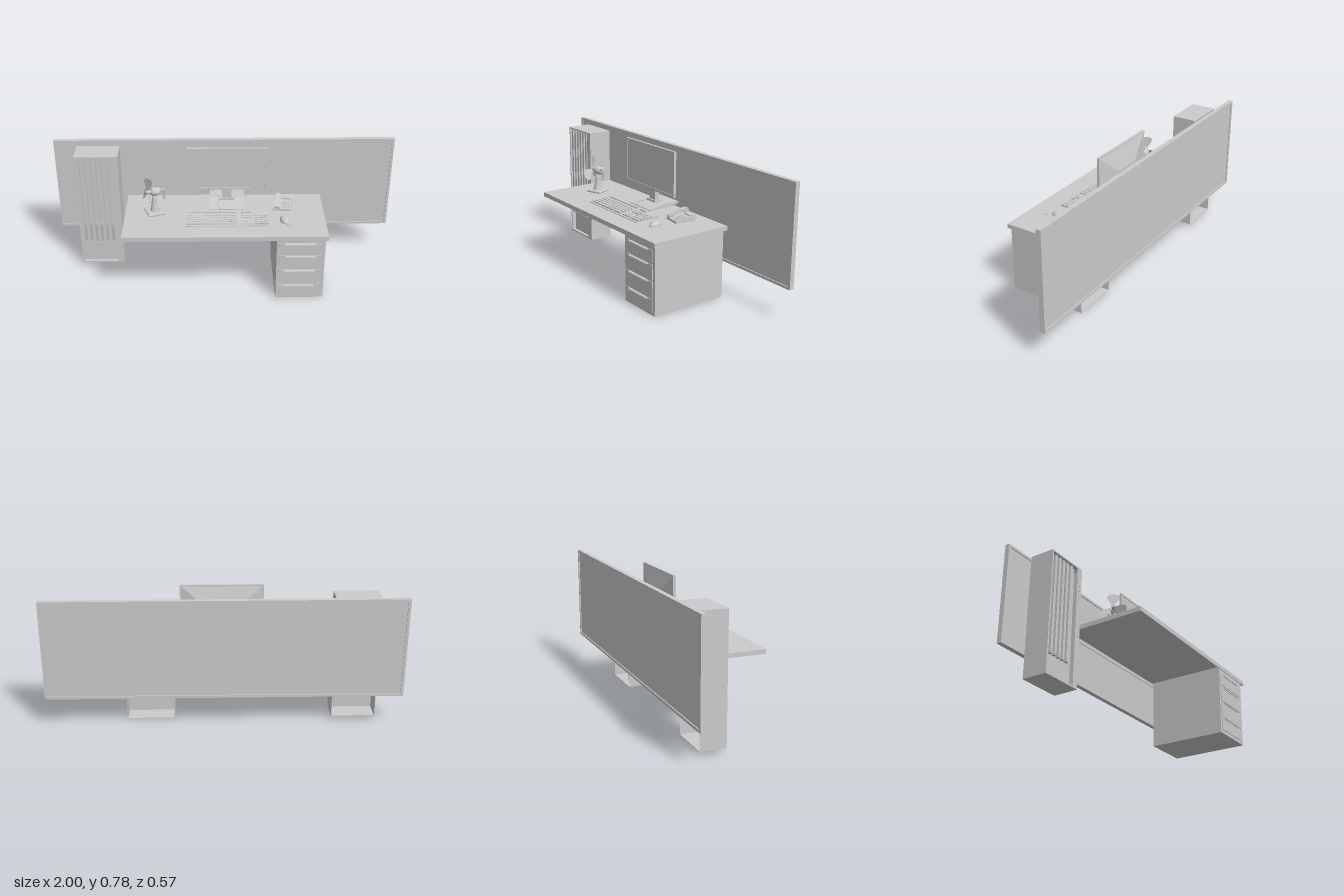
import * as THREE from 'three';
import { RoundedBoxGeometry } from 'three/addons/geometries/RoundedBoxGeometry.js';

const mat = new THREE.MeshStandardMaterial({ color: 0xcccccc, side: THREE.DoubleSide });
const DESK = 0.415;

function add(parent, name, geo, x = 0, y = 0, z = 0) {
  const m = new THREE.Mesh(geo, mat);
  m.name = name;
  m.position.set(x, y, z);
  parent.add(m);
  return m;
}
function group(parent, name, x = 0, y = 0, z = 0, yaw = 0) {
  const g = new THREE.Group();
  g.name = name;
  g.position.set(x, y, z);
  g.rotation.y = yaw;
  parent.add(g);
  return g;
}
// Box given by its limits
function box(parent, name, x0, x1, y0, y1, z0, z1) {
  return add(parent, name, new THREE.BoxGeometry(x1 - x0, y1 - y0, z1 - z0),
    (x0 + x1) / 2, (y0 + y1) / 2, (z0 + z1) / 2);
}
function rect(path, x0, x1, y0, y1) {
  return path.moveTo(x0, y0).lineTo(x1, y0).lineTo(x1, y1).lineTo(x0, y1).closePath();
}
// Flat plate with rectangular holes, from z0 to z1
function plate(parent, name, outer, holes, z0, z1) {
  const s = rect(new THREE.Shape(), ...outer);
  holes.forEach(h => s.holes.push(rect(new THREE.Path(), ...h)));
  return add(parent, name, new THREE.ExtrudeGeometry(s, { depth: z1 - z0, bevelEnabled: false }), 0, 0, z0);
}
// Side profile of [z, y] points, extruded from x0 to x1
function profile(parent, name, pts, x0, x1) {
  const s = new THREE.Shape(pts.map(p => new THREE.Vector2(-p[0], p[1])));
  const g = new THREE.ExtrudeGeometry(s, { depth: x1 - x0, bevelEnabled: false }).rotateY(Math.PI / 2);
  return add(parent, name, g, x0, 0, 0);
}
function tube(parent, name, pts, r) {
  const c = new THREE.CatmullRomCurve3(pts.map(p => new THREE.Vector3(...p)));
  return add(parent, name, new THREE.TubeGeometry(c, 24, r, 8));
}

function buildPanel(root) {
  const g = group(root, 'backPanel');
  plate(g, 'panelFrame', [-1, 1, 0.175, 0.75], [[-0.985, 0.985, 0.19, 0.735]], -0.285, -0.257);
  box(g, 'panelBoard', -0.985, 0.985, 0.19, 0.735, -0.279, -0.263);
}

function buildCabinet(root) {
  const g = group(root, 'slattedCabinet');
  const t = 0.003, z0 = -0.225, z1 = -0.087;
  box(g, 'cabinetSide', -0.86, -0.86 + t, 0.02, 0.73, z0, z1);
  box(g, 'cabinetSide', -0.61 - t, -0.61, 0.02, 0.73, z0, z1);
  box(g, 'cabinetTop', -0.86, -0.61, 0.73 - t, 0.73, z0, z1);
  box(g, 'cabinetBottom', -0.86, -0.61, 0.02, 0.02 + t, z0, z1);
  plate(g, 'cabinetFrontFrame', [-0.86, -0.61, 0.02, 0.73], [[-0.853, -0.647, 0.03, 0.722]], z1, -0.078);
  // Recessed grille with tall slots
  const slots = [];
  for (let i = 0; i < 6; i++) slots.push([-0.836 + i * 0.032, -0.82 + i * 0.032, 0.15, 0.71]);
  plate(g, 'cabinetGrille', [-0.857, -0.64, 0.023, 0.727], slots, -0.112, -0.108);
  for (let i = 0; i < 6; i++) box(g, 'grilleSlat', -0.853 + i * 0.032, -0.836 + i * 0.032, 0.15, 0.722, -0.108, -0.09);
  for (let i = 0; i < 4; i++) {
    add(g, 'cabinetButton', new THREE.CylinderGeometry(0.005, 0.005, 0.004, 12).rotateX(Math.PI / 2),
      -0.628, 0.53 + i * 0.03, -0.077);
  }
}

function buildDesk(root) {
  const g = group(root, 'desk'), t = 0.004;
  // Desk top, hollow underneath
  box(g, 'deskTop', -0.575, 0.57, DESK - t, DESK, -0.203, 0.285);
  box(g, 'deskRim', -0.575, 0.57, 0.389, DESK - t, 0.285 - t, 0.285);
  box(g, 'deskRim', -0.575, 0.57, 0.389, DESK - t, -0.203, -0.203 + t);
  for (const x of [-0.575, 0.57 - t]) box(g, 'deskRim', x, x + t, 0.389, DESK - t, -0.203, 0.285);
  // Pedestal with open back
  const p = group(g, 'drawerPedestal');
  for (const x of [0.285, 0.553]) box(p, 'pedestalSide', x, x + 0.003, 0, 0.41, -0.188, 0.27);
  box(p, 'pedestalBody', 0.288, 0.553, 0, 0.41, -0.09, 0.27);
  box(p, 'pedestalFloor', 0.288, 0.553, 0, 0.002, -0.188, -0.09);
  [[0.30, 0.366], [0.20, 0.285], [0.10, 0.19], [0.02, 0.091]].forEach(([y0, y1]) => {
    box(p, 'drawerFront', 0.30, 0.537, y0, y1, 0.27, 0.274);
    profile(p, 'drawerHandle', [[0.27, y1 - 0.003], [0.28, y1 - 0.004], [0.284, y1 - 0.008],
      [0.283, y1 - 0.003], [0.28, y1], [0.27, y1]], 0.33, 0.50);
  });
}

function buildMonitor(root) {
  const g = group(root, 'monitor');
  plate(g, 'screenFrame', [-0.22, 0.245, 0.512, 0.776], [[-0.207, 0.232, 0.527, 0.765]], -0.101, -0.086);
  box(g, 'screen', -0.207, 0.232, 0.527, 0.765, -0.1, -0.09);
  // Tapered back shell
  const shell = new THREE.BoxGeometry(1, 1, 1), p = shell.attributes.position;
  for (let i = 0; i < p.count; i++) {
    const l = p.getX(i) < 0, b = p.getY(i) < 0;
    if (p.getZ(i) > 0) p.setXYZ(i, l ? -0.215 : 0.24, b ? 0.515 : 0.772, -0.1);
    else p.setXYZ(i, l ? -0.075 : 0.1, b ? 0.522 : 0.652, -0.131);
  }
  shell.computeVertexNormals();
  add(g, 'screenBack', shell);
  box(g, 'standColumn', -0.015, 0.04, 0.425, 0.56, -0.137, -0.11);
  box(g, 'standNeck', -0.03, 0.055, 0.435, 0.447, -0.145, -0.1);
  profile(g, 'standBase', [[0.0, DESK], [0.0, 0.419], [-0.125, 0.438], [-0.225, 0.438], [-0.225, 0.432],
    [-0.19, DESK]].map(([z, y]) => [z === 0 ? 0.0 - 0.02 : z, y]), -0.087, 0.113);
  tube(g, 'monitorCable', [[-0.045, 0.437, -0.15], [-0.06, 0.437, -0.19], [-0.09, 0.437, -0.22],
    [-0.13, 0.42, -0.237], [-0.16, 0.392, -0.247]], 0.0025);
}

function buildKeyboard(root) {
  const g = group(root, 'keyboard');
  const slope = z => 0.421 + (0.165 - z) * 0.055;
  profile(g, 'keyboardBody', [[0.168, DESK], [0.168, 0.419], [0.016, slope(0.016)], [0.016, DESK]], -0.226, 0.242);
  // Rows of keys in three blocks
  const blocks = [[-0.218, 14], [0.092, 3], [0.164, 4]], pitch = 0.0205, w = 0.0168;
  const zs = [0.03, 0.062, 0.083, 0.104, 0.125, 0.147];
  zs.forEach((z, row) => blocks.forEach(([x0, n], b) => {
    if ((b === 1 && row === 3) || (b === 2 && row === 0)) return;
    for (let i = 0; i < n; i++) {
      let kw = w, x = x0 + i * pitch + w / 2;
      if (b === 0 && row === 5) {
        if (i > 4 && i < 9) continue;
        if (i === 4) { kw = w + 4 * pitch; x += 2 * pitch; }
      }
      if (b === 1 && row === 4 && i !== 1) continue;
      add(g, 'key', new THREE.BoxGeometry(kw, 0.008, 0.0165), x, slope(z) + 0.002, z).rotation.x = 0.055;
    }
  }));
  tube(g, 'keyboardCable', [[-0.03, 0.424, 0.018], [-0.025, 0.422, -0.01], [-0.04, 0.43, -0.05],
    [-0.03, 0.438, -0.09], [-0.035, 0.441, -0.15]], 0.0025);
}

function buildMouse(root) {
  const g = group(root, 'mouse', 0.337, DESK, 0.108, 0.2);
  const dome = new THREE.SphereGeometry(1, 24, 12, 0, Math.PI * 2, 0, Math.PI / 2);
  dome.scale(0.026, 0.024, 0.041);
  add(g, 'mouseShell', dome, 0, 0.002, 0);
  add(g, 'mouseFoot', new THREE.CylinderGeometry(1, 1, 0.003, 24).scale(0.026, 1, 0.041), 0, 0.0015, 0);
  add(g, 'mouseWheel', new THREE.CylinderGeometry(0.005, 0.005, 0.004, 12).rotateZ(Math.PI / 2), 0, 0.02, 0.022);
  tube(g, 'mouseCable', [[0, 0.006, 0.038], [0.004, 0.003, 0.055], [0.018, 0.003, 0.068], [0.02, 0.003, 0.088]], 0.002);
}

function buildPhone(root) {
  const g = group(root, 'telephone', 0.34, DESK, -0.067, -0.14);
  const top = z => 0.012 + (0.062 - z) * 0.17;
  profile(g, 'phoneBody', [[0.062, 0], [0.062, 0.012], [-0.062, top(-0.062)], [-0.062, 0]], -0.05, 0.05);
  for (let r = 0; r < 4; r++) for (let c = 0; c < 3; c++) {
    const z = 0.045 - r * 0.016;
    add(g, 'phoneButton', new THREE.BoxGeometry(0.011, 0.005, 0.01), 0.002 + c * 0.016, top(z), z);
  }
  box(g, 'phoneDisplay', -0.008, 0.044, 0.026, 0.034, -0.05, -0.028);
  // Handset resting along the side
  profile(g, 'handset', [[0.062, 0.014], [0.064, 0.025], [0.05, 0.034], [0.0, 0.05], [-0.045, 0.057], [-0.06, 0.052],
    [-0.062, 0.036], [-0.035, 0.032], [-0.03, 0.042], [0.0, 0.038], [0.03, 0.03], [0.034, 0.018]], -0.046, -0.018);
  tube(g, 'handsetCord', [[-0.032, 0.016, 0.06], [-0.045, 0.006, 0.07], [-0.058, 0.005, 0.05], [-0.05, 0.008, 0.03]], 0.0025);
}

function buildFan(root) {
  const g = group(root, 'fan', -0.405, DESK, 0.0, -1.2);
  add(g, 'fanBase', new RoundedBoxGeometry(0.1, 0.013, 0.1, 3, 0.005), 0, 0.0065, 0);
  const stem = [[0.027, 0.01], [0.023, 0.025], [0.017, 0.055], [0.013, 0.085], [0.012, 0.115], [0, 0.118]];
  add(g, 'fanStem', new THREE.LatheGeometry(stem.map(p => new THREE.Vector2(...p)), 24));
  const h = group(g, 'fanHead', 0, 0.135, 0);
  h.rotation.x = -0.08;
  const motor = [[0, -0.042], [0.015, -0.04], [0.023, -0.03], [0.026, -0.01], [0.024, 0.01], [0.014, 0.02], [0, 0.02]];
  add(h, 'fanMotor', new THREE.LatheGeometry(motor.map(p => new THREE.Vector2(...p)), 24).rotateX(Math.PI / 2));
  add(h, 'fanHub', new THREE.CylinderGeometry(0.009, 0.012, 0.03, 20).rotateX(Math.PI / 2), 0, 0, 0.033);
  add(h, 'swingKnob', new THREE.CylinderGeometry(0.004, 0.004, 0.014, 12), 0, 0.028, -0.02);
  // Three twisted blades
  const s = new THREE.Shape().moveTo(-0.006, 0.006);
  s.bezierCurveTo(-0.02, 0.03, -0.05, 0.055, -0.03, 0.074);
  s.bezierCurveTo(-0.012, 0.088, 0.026, 0.086, 0.033, 0.072);
  s.bezierCurveTo(0.034, 0.05, 0.012, 0.03, 0.006, 0.006);
  const blade = new THREE.ShapeGeometry(s, 14).rotateY(0.4);
  for (let i = 0; i < 3; i++) add(h, 'fanBlade', blade, 0, 0, 0.035).rotation.z = i * Math.PI * 2 / 3;
  // Curved carrying handle behind the motor
  tube(h, 'fanHandle', [[0.018, 0.012, -0.03], [0.018, 0.016, -0.05], [0.018, 0.0, -0.058], [0.018, -0.045, -0.06]], 0.006);
}

export function createModel() {
  const root = new THREE.Group();
  root.name = 'officeDeskSet';
  [buildPanel, buildCabinet, buildDesk, buildMonitor, buildKeyboard, buildMouse, buildPhone, buildFan]
    .forEach(build => build(root));
  return root;
}
